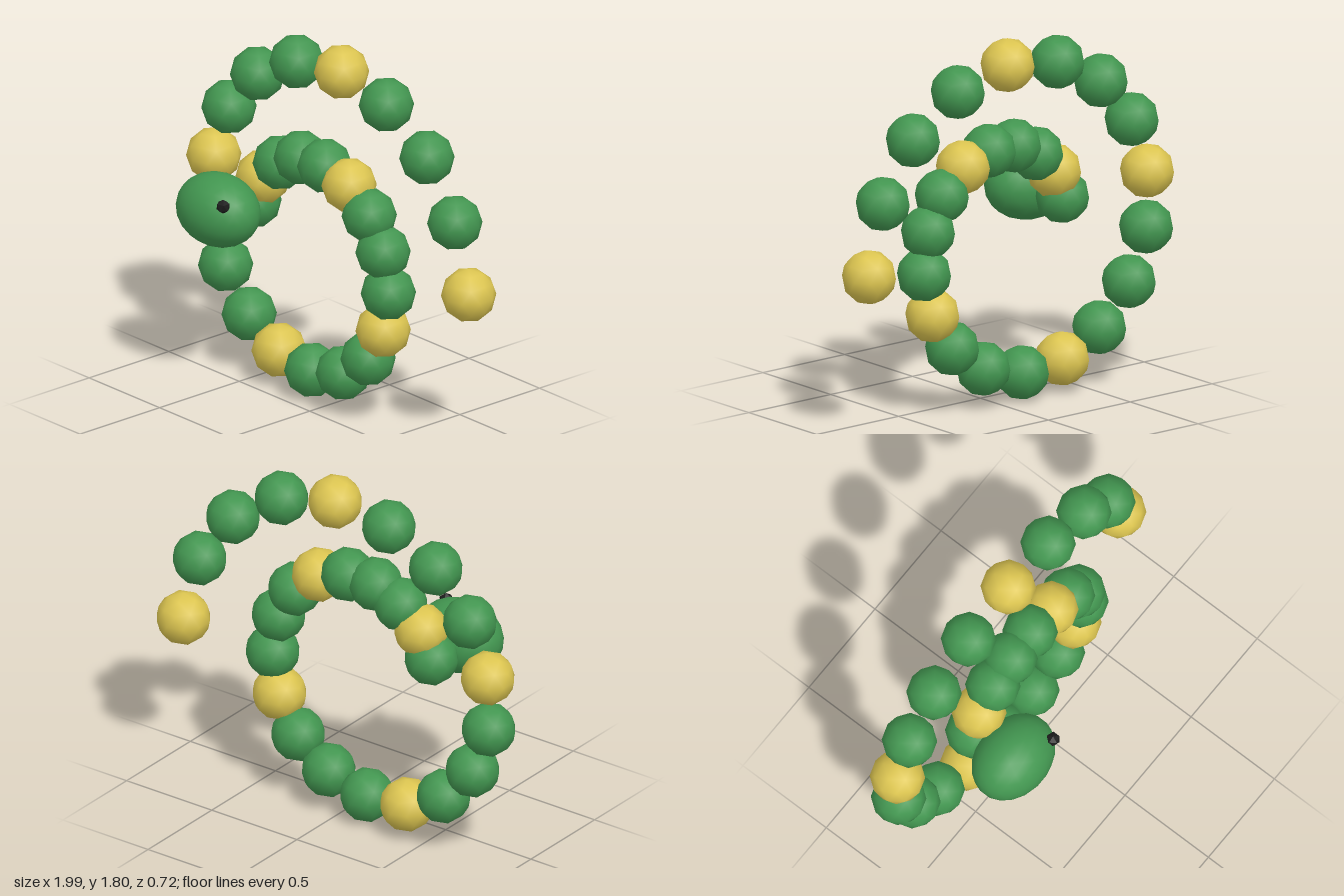
import * as THREE from 'three';

const green = new THREE.MeshStandardMaterial({ color: 0x429650 });
green.name = 'leaf green';
const gold = new THREE.MeshStandardMaterial({ color: 0xdcc550 });
gold.name = 'gold';
const black = new THREE.MeshStandardMaterial({ color: 0x1c1c1c });
black.name = 'black';

// Geodesic ball with one corner pointing straight up
const ball = (radius, detail) =>
  new THREE.IcosahedronGeometry(radius, detail).rotateZ(Math.atan(2 / (1 + Math.sqrt(5))));

// Segment centres (x, y) along the coil, from tail to neck
const coil = [
  [0.87, 0.8], [0.78, 1.14], [0.59, 1.415], [0.31, 1.6],
  [0, 1.675], [-0.31, 1.635], [-0.58, 1.495], [-0.775, 1.27],
  [-0.875, 1.0], [-0.875, 0.725], [-0.775, 0.475], [-0.6, 0.28],
  [-0.38, 0.165], [-0.14, 0.138], [0.09, 0.195], [0.275, 0.325],
  [0.39, 0.505], [0.435, 0.71], [0.405, 0.91], [0.315, 1.07],
  [0.18, 1.185], [0.015, 1.235], [-0.145, 1.23], [-0.285, 1.165],
  [-0.4, 1.06], [-0.455, 0.925],
];

export function createModel() {
  const model = new THREE.Group();
  model.name = 'coiledSnake';

  const add = (parent, name, geometry, material, x, y, z) => {
    const mesh = new THREE.Mesh(geometry, material);
    mesh.name = name;
    mesh.position.set(x, y, z);
    parent.add(mesh);
    return mesh;
  };

  // Body: a bead for every segment, every fourth one gold, drifting forward to the neck
  const body = new THREE.Group();
  body.name = 'body';
  model.add(body);
  const bead = ball(0.131, 1);
  coil.forEach(([x, y], i) => {
    const z = -0.228 + 0.007 * i;
    add(body, `bodySegment${i + 1}`, bead, i % 4 === 0 ? gold : green, x, y, z);
  });

  // Head: elongated sideways
  add(model, 'head', ball(0.177, 3).scale(1.29, 1, 1), green, -0.443, 0.945, 0.182);

  // Eye
  add(model, 'eye', ball(0.035, 0), black, -0.283, 1.037, 0.293);

  return model;
}
